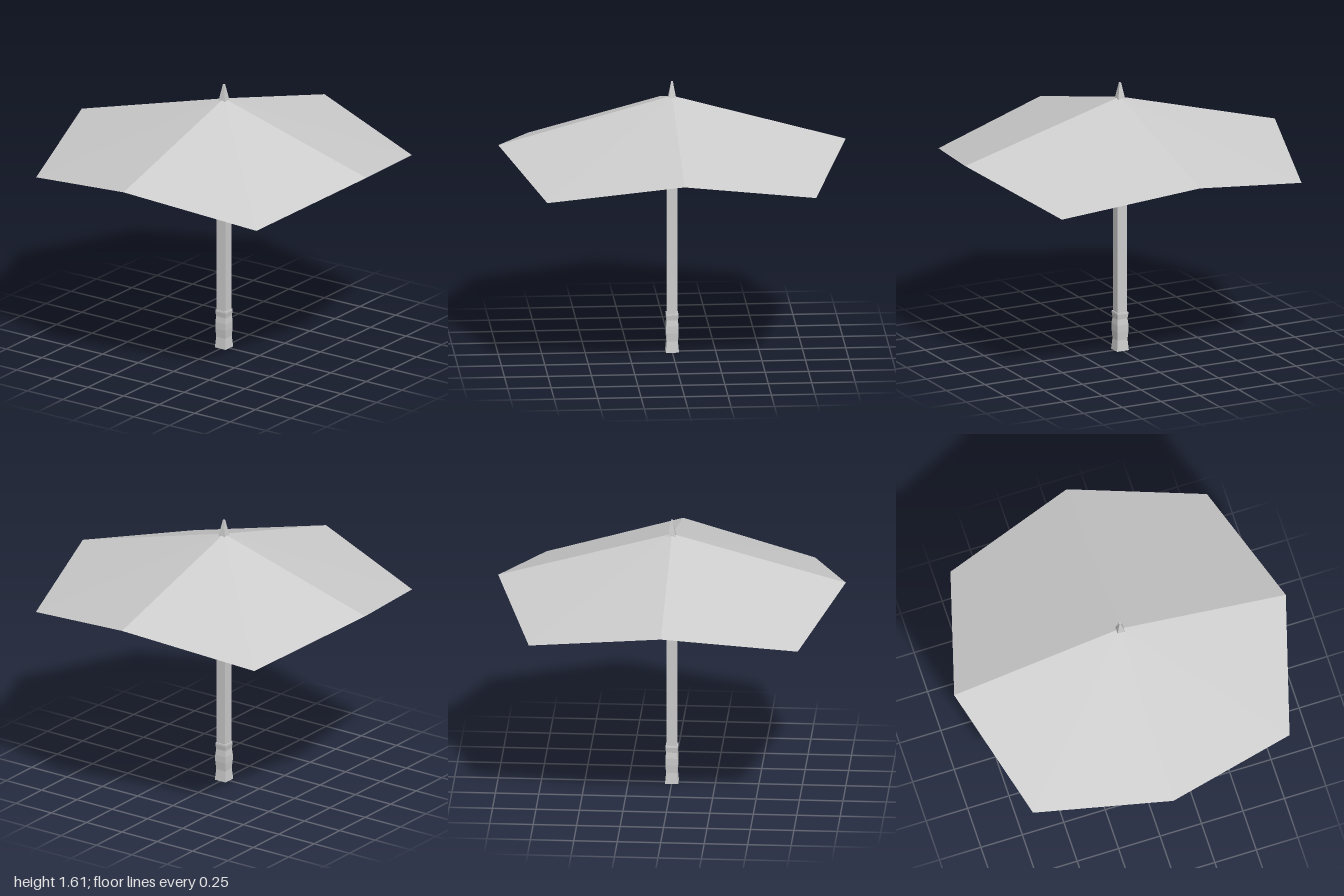
import * as THREE from 'three';

const paleGrey = new THREE.MeshStandardMaterial({ color: 0xcccccc });
paleGrey.name = 'paleGrey';
paleGrey.flatShading = true;
paleGrey.side = THREE.DoubleSide;

function addPart(group, name, geometry) {
  const mesh = new THREE.Mesh(geometry, paleGrey);
  mesh.name = name;
  group.add(mesh);
}

// Square-section part: profile of [half width, height], bottom to top
function squareLathe(profile) {
  const points = profile.map(([h, y]) => new THREE.Vector2(h * Math.SQRT2, y));
  return new THREE.LatheGeometry(points, 4, Math.PI / 4);
}

// Thin eight-sided canopy whose diagonal corners hang lower and further out
function canopyGeometry() {
  const corner = (i) => {
    const a = (i * Math.PI) / 4;
    const r = i % 2 ? 1.094 : 1;
    return [Math.sin(a) * r, i % 2 ? 1.105 : 1.245, Math.cos(a) * r];
  };
  const positions = [];
  for (let i = 0; i < 8; i++) positions.push(0, 1.52, 0, ...corner(i), ...corner(i + 1));
  const geometry = new THREE.BufferGeometry();
  geometry.setAttribute('position', new THREE.Float32BufferAttribute(positions, 3));
  geometry.computeVertexNormals();
  return geometry;
}

export function createModel() {
  const umbrella = new THREE.Group();
  umbrella.name = 'umbrella';

  addPart(umbrella, 'canopy', canopyGeometry());
  addPart(umbrella, 'pole', squareLathe([[0.03, 0.2], [0.03, 1.502]]));

  // Tapered spike on top
  addPart(umbrella, 'tip', squareLathe([[0.024, 1.5], [0.005, 1.605], [0, 1.605]]));

  // Grip with two waists
  addPart(umbrella, 'handle', squareLathe([
    [0, 0], [0.038, 0], [0.032, 0.065], [0.036, 0.115],
    [0.036, 0.155], [0.032, 0.19], [0.036, 0.22], [0.035, 0.23], [0, 0.23],
  ]));

  return umbrella;
}
